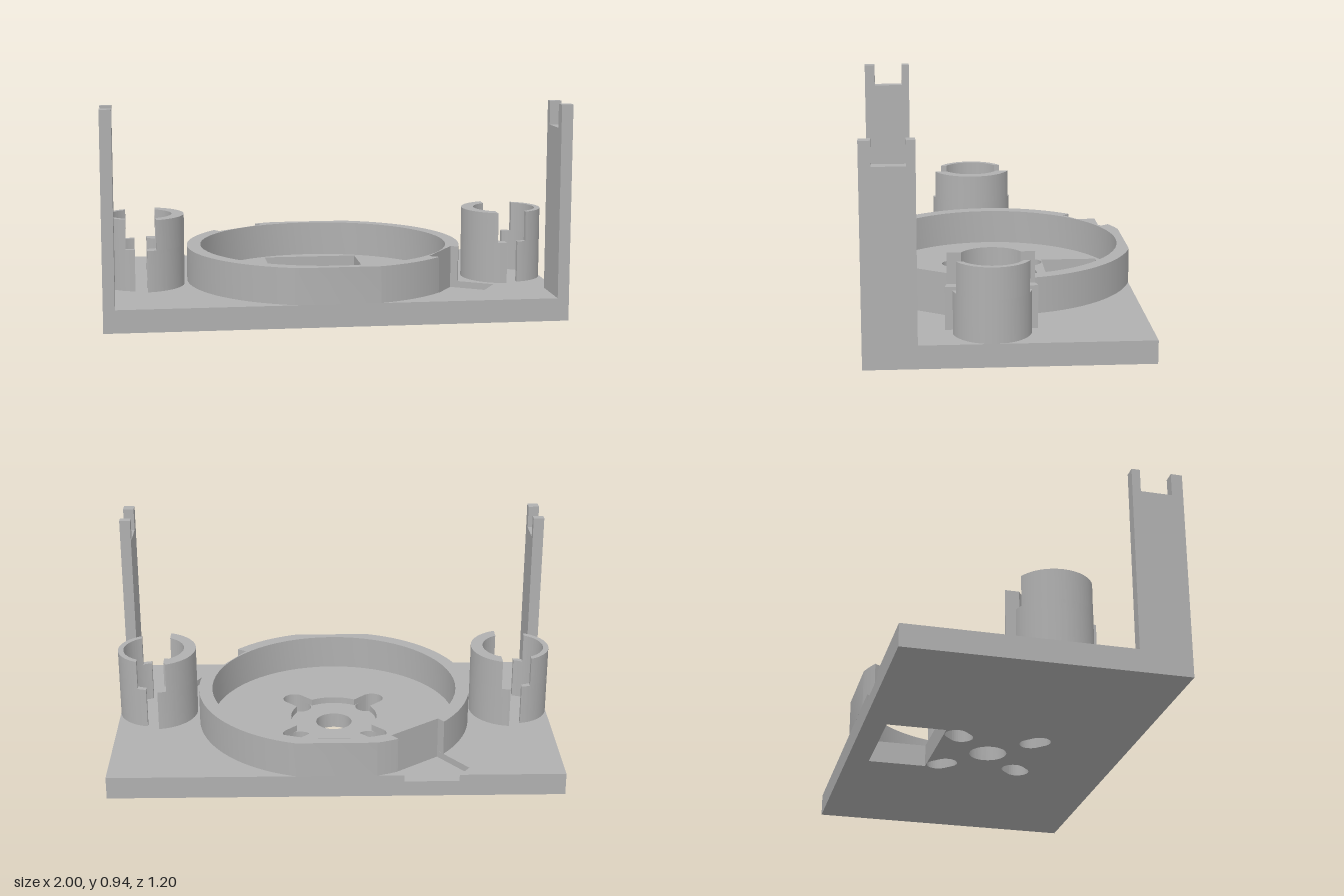
import * as THREE from 'three';
import { toCreasedNormals } from 'three/addons/utils/BufferGeometryUtils.js';

export function createModel() {
  const model = new THREE.Group();
  model.name = 'mountingPlate';
  const grey = new THREE.MeshStandardMaterial({ color: 0xb0b0b0 });
  grey.name = 'plain grey';

  const poly = (pts, Type = THREE.Shape) => new Type(pts.map(([x, z]) => new THREE.Vector2(x, z)));
  const circle = (r) => new THREE.Path().absarc(0, 0, r, 0, Math.PI * 2);

  // Extrudes a plan outline, drawn in (x, z), between two heights
  function slab(name, shape, y0, y1, parent = model) {
    const geo = new THREE.ExtrudeGeometry(shape, { depth: y1 - y0, bevelEnabled: false, curveSegments: 32 });
    geo.rotateX(Math.PI / 2).translate(0, y1, 0);
    const mesh = new THREE.Mesh(toCreasedNormals(geo, 0.5), grey);
    mesh.name = name;
    parent.add(mesh);
    return mesh;
  }

  const floor = 0.07, top = 0.1;
  const diagonals = [0, 1, 2, 3].map((i) => Math.PI / 4 + i * Math.PI / 2);
  const slotR = 0.051, slotIn = 0.222, slotOut = 0.264, recessR = 0.2;
  const window = [[-0.225, -0.5], [0.22, -0.5], [0.22, -0.24], [-0.225, -0.24]];
  const sideNotch = [[0.567, 0.166], [0.743, 0.273], [0.61, 0.503], [0.422, 0.396]];
  const backNotch = [[-0.535, -0.6], [-0.583, -0.535], [-0.455, -0.369], [-0.24, -0.53], [-0.294, -0.6]];

  // Lower layer of the base: window, centre hole and four diagonal slots
  const lower = poly([[-1, -0.6], [1, -0.6], [1, 0.6], [-1, 0.6]]);
  lower.holes.push(poly(window, THREE.Path), circle(0.083));
  for (const a of diagonals) {
    const slot = new THREE.Path(), c = Math.cos(a), s = Math.sin(a);
    slot.absarc(c * slotOut, s * slotOut, slotR, a - Math.PI / 2, a + Math.PI / 2);
    slot.absarc(c * slotIn, s * slotIn, slotR, a + Math.PI / 2, a + Math.PI * 1.5);
    lower.holes.push(slot);
  }
  slab('baseBottom', lower, 0, floor);

  // Upper layer: round recess joined with the slots, and two notch pockets
  const upper = poly([[-1, -0.6], ...backNotch, [1, -0.6], [1, 0.6], [-1, 0.6]]);
  const recess = new THREE.Path();
  const spread = Math.asin(slotR / recessR);
  for (const a of diagonals) {
    recess.absarc(Math.cos(a) * slotOut, Math.sin(a) * slotOut, slotR, a - Math.PI / 2, a + Math.PI / 2);
    recess.absarc(0, 0, recessR, a + spread, a + Math.PI / 2 - spread);
  }
  upper.holes.push(poly(window, THREE.Path), poly(sideNotch, THREE.Path), recess);
  slab('baseTop', upper, floor, top);

  // Round wall, trimmed flush with the base edges and cut flat at the notches
  const R = 0.625;
  const wall = new THREE.Shape();
  wall.absarc(0, 0, R, 0.738, 1.287);
  wall.absarc(0, 0, R, 1.854, 3.837);
  wall.lineTo(...backNotch[2]);
  wall.lineTo(...backNotch[3]);
  wall.absarc(0, 0, R, 4.271, 4.429);
  wall.absarc(0, 0, R, 4.996, Math.PI * 2 + 0.299);
  wall.lineTo(...sideNotch[0]);
  wall.lineTo(...sideNotch[3]);
  wall.holes.push(circle(0.564));
  slab('roundWall', wall, top, 0.26);

  // Curved half of a cup: arc band beyond x = gap
  function band(outer, gap) {
    const inner = 0.14, a = Math.acos(gap / outer), b = Math.acos(gap / inner);
    const s = new THREE.Shape();
    s.absarc(0, 0, outer, -a, a);
    s.absarc(0, 0, inner, b, -b, true);
    return s;
  }

  for (const side of [1, -1]) {
    const label = side > 0 ? 'left' : 'right';

    // Split cup with stepped ends; its inward half is thicker
    const cup = new THREE.Group();
    cup.name = label + 'Cup';
    cup.position.set(side * 0.835, 0, 0.066);
    cup.rotation.y = side > 0 ? 0 : Math.PI;
    for (const [half, outer, turn] of [['outward', 0.165, 0], ['inward', 0.195, Math.PI]]) {
      slab(half + 'HalfLower', band(outer, 0.027), top, 0.285, cup).rotation.y = turn;
      slab(half + 'HalfUpper', band(outer, 0.067), 0.285, 0.42, cup).rotation.y = turn;
    }
    model.add(cup);

    // Front corner post with a forked top, profile drawn in (-z, y)
    const profile = poly([[-0.6, top], [-0.375, top], [-0.375, 0.94], [-0.412, 0.94],
      [-0.412, 0.836], [-0.55, 0.836], [-0.55, 0.94], [-0.6, 0.94]]);
    const geo = new THREE.ExtrudeGeometry(profile, { depth: 0.05, bevelEnabled: false });
    geo.rotateY(Math.PI / 2).translate(side > 0 ? 0.95 : -1, 0, 0);
    const post = new THREE.Mesh(geo, grey);
    post.name = label + 'Post';
    model.add(post);
  }
  return model;
}
